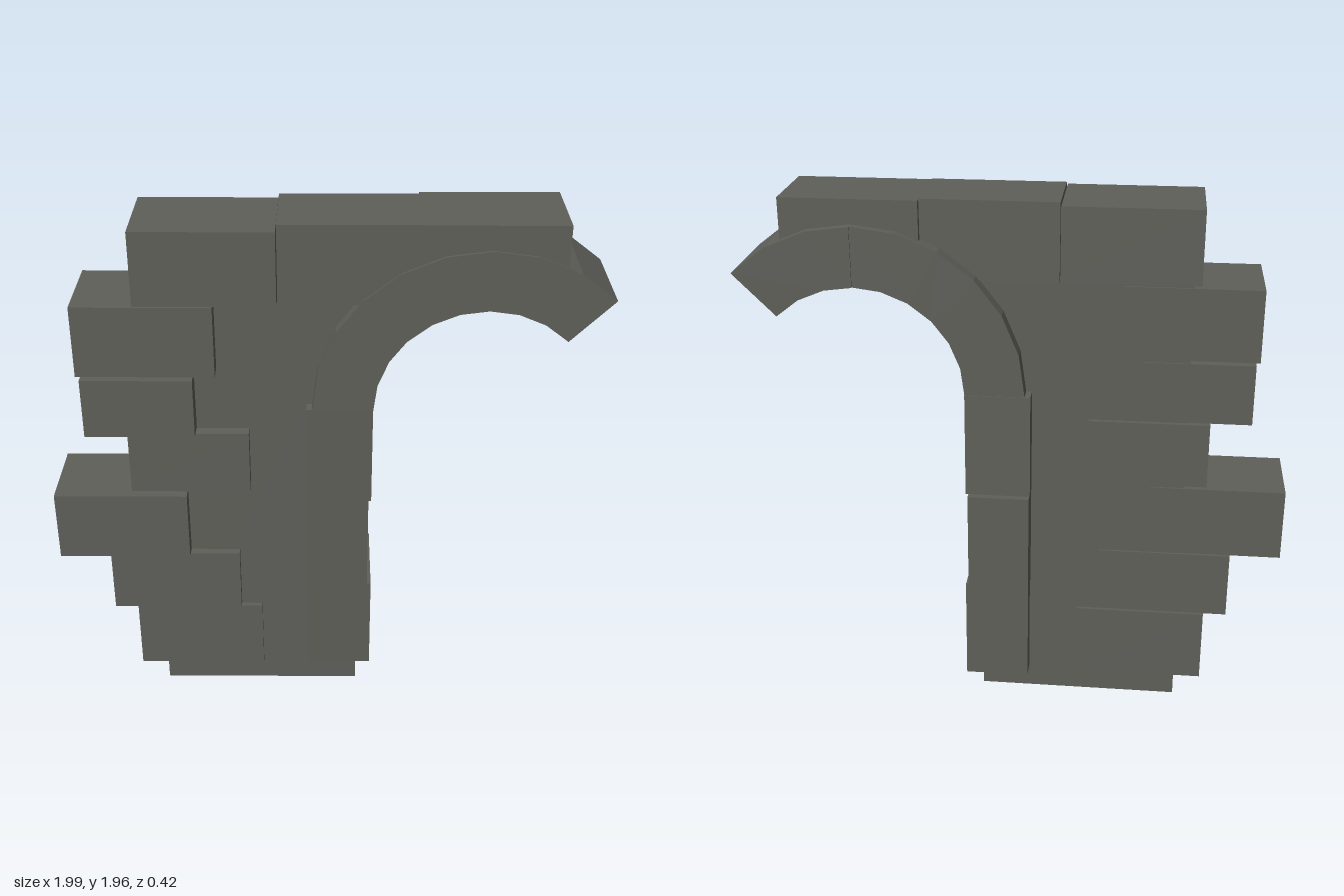
import * as THREE from 'three';

export function createModel() {
  const model = new THREE.Group();
  model.name = 'ruinedArch';
  const stone = new THREE.MeshStandardMaterial({ color: 0x60605a });
  stone.name = 'grey stone';

  // Box given by its limits, leaning by "lean" units of z per unit of height
  function block(name, x0, x1, y0, y1, z0, z1, lean = 0) {
    const geo = new THREE.BoxGeometry(x1 - x0, y1 - y0, z1 - z0);
    const pos = geo.attributes.position;
    for (let i = 0; i < pos.count; i++) pos.setZ(i, pos.getZ(i) + lean * pos.getY(i));
    geo.computeVertexNormals();
    const mesh = new THREE.Mesh(geo, stone);
    mesh.position.set((x0 + x1) / 2, (y0 + y1) / 2, (z0 + z1) / 2);
    mesh.name = name;
    model.add(mesh);
  }

  // Wall core
  block('wallCore', -0.63, 0.12, 0, 1.69, -0.108, 0.135);

  // Broken edge stones, bottom to top
  [
    [-0.73, -0.245, 0.09, 0.37, -0.12, 0.153],
    [-0.815, -0.325, 0.375, 0.627, -0.116, 0.167],
    [-1, -0.51, 0.632, 0.9, -0.114, 0.192],
    [-0.712, -0.275, 0.915, 1.16, -0.124, 0.178],
    [-0.86, -0.465, 1.165, 1.39, -0.114, 0.21],
    [-0.873, -0.385, 1.402, 1.667, -0.114, 0.203],
  ].forEach((b, i) => block('edgeStone' + (i + 1), ...b));

  // Top course
  block('topStoneLeft', -0.655, -0.165, 1.675, 1.943, -0.113, 0.212);
  block('topStoneMiddle', -0.163, 0.325, 1.67, 1.957, -0.115, 0.18);
  block('topStoneRight', 0.325, 0.815, 1.7, 1.955, -0.138, 0.178);

  // Pillar stones
  block('pillarStoneLower', -0.063, 0.175, 0.095, 0.485, -0.183, 0.157, 0.02);
  block('pillarStoneMiddle', -0.066, 0.16, 0.485, 0.87, -0.208, 0.165, 0.02);
  block('pillarStoneUpper', -0.068, 0.17, 0.87, 1.26, -0.175, 0.174, 0.02);

  // Arch stones: three 45 degree wedges, each of three straight facets
  const cx = 0.56, cy = 1.26, outer = 0.607, inner = 0.39, steps = 3;
  const depths = [[-0.168, 0.184], [-0.17, 0.187], [-0.175, 0.187]];
  depths.forEach(([z0, z1], n) => {
    const start = Math.PI * (1 - n / 4);
    const ring = (r, k) => {
      const a = start - (k / steps) * Math.PI / 4;
      return new THREE.Vector2(cx + r * Math.cos(a), cy + r * Math.sin(a));
    };
    const points = [];
    for (let k = 0; k <= steps; k++) points.push(ring(outer, k));
    for (let k = steps; k >= 0; k--) points.push(ring(inner, k));
    const geo = new THREE.ExtrudeGeometry(new THREE.Shape(points), { depth: z1 - z0, bevelEnabled: false });
    const mesh = new THREE.Mesh(geo, stone);
    mesh.position.z = z0;
    mesh.name = 'archStone' + (n + 1);
    model.add(mesh);
  });

  return model;
}
